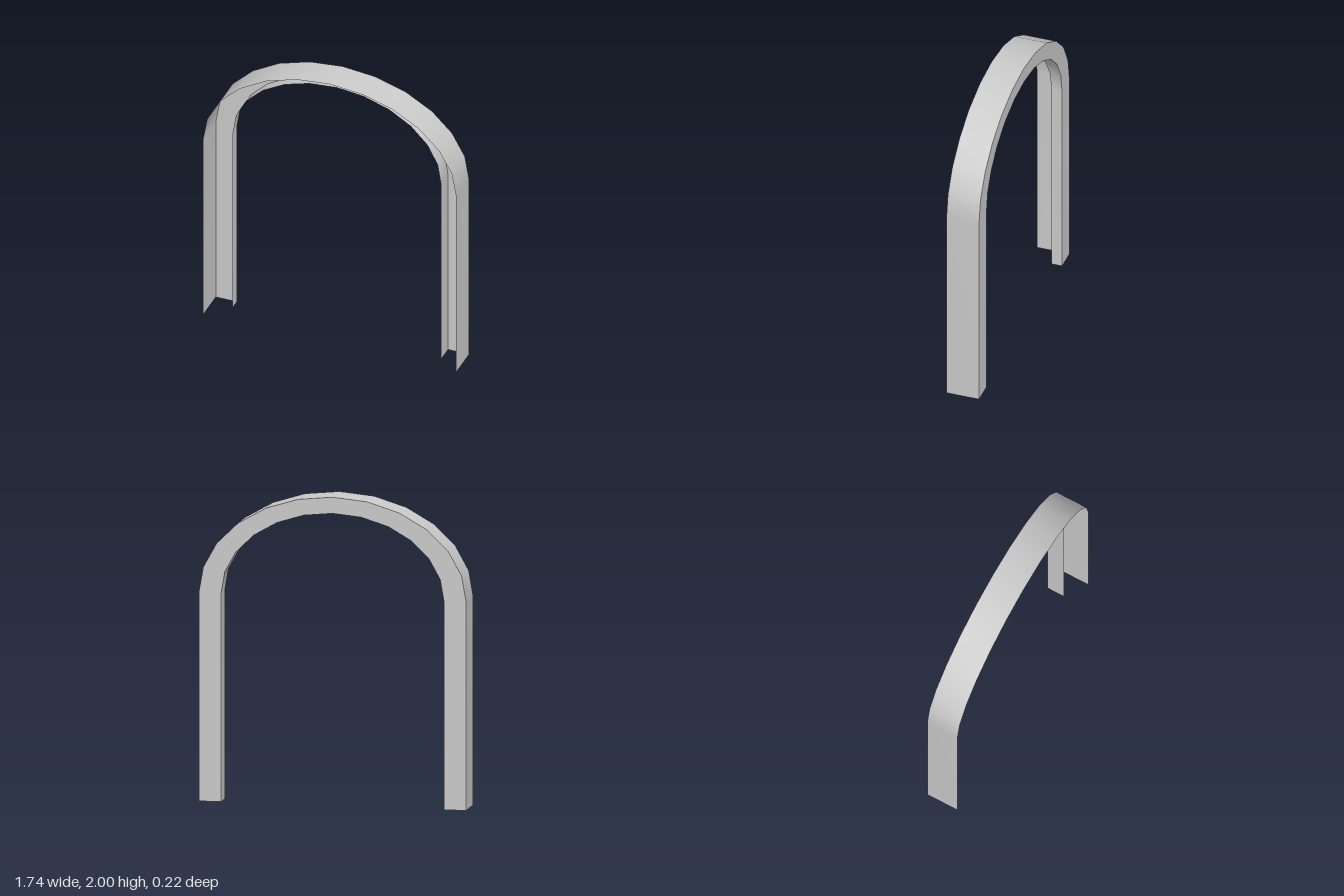
import * as THREE from 'three';

const SEGMENTS = 12;
const SPRING = 1.35;   // height where the arch starts
const DEPTH = 0.11;    // half depth

// Path from the +x foot, over the half-ellipse, to the -x foot.
// t runs 0..1 around the arch.
function archPath(rx, ry) {
  const path = [{ x: rx, y: 0, t: 0 }];
  for (let i = 0; i <= SEGMENTS; i++) {
    const t = i / SEGMENTS, a = Math.PI * t;
    path.push({ x: rx * Math.cos(a), y: SPRING + ry * Math.sin(a), t });
  }
  path.push({ x: -rx, y: 0, t: 1 });
  return path;
}

// Smooth ribbon between two edges with the same number of points
function ribbon(name, edgeA, edgeB, material) {
  const positions = [], index = [];
  edgeA.forEach((a, i) => {
    positions.push(...a.toArray(), ...edgeB[i].toArray());
    if (i > 0) {
      const k = 2 * (i - 1);
      index.push(k, k + 1, k + 2, k + 1, k + 3, k + 2);
    }
  });
  const geometry = new THREE.BufferGeometry();
  geometry.setAttribute('position', new THREE.Float32BufferAttribute(positions, 3));
  geometry.setIndex(index);
  geometry.computeVertexNormals();
  const mesh = new THREE.Mesh(geometry, material);
  mesh.name = name;
  return mesh;
}

export function createModel() {
  const group = new THREE.Group();
  group.name = 'archFrame';
  const material = new THREE.MeshStandardMaterial({ color: 0xcccccc, side: THREE.DoubleSide });

  const outer = archPath(0.872, 0.65);
  const inner = archPath(0.727, 0.545);
  const edge = (path, z) => path.map(p => new THREE.Vector3(p.x, p.y, z(p.t)));

  const outerFront = edge(outer, () => DEPTH);
  const outerBack = edge(outer, () => -DEPTH);
  const innerBack = edge(inner, () => -DEPTH);
  // the inner lip is wider on the +x leg and narrows around the arch
  const innerFront = edge(inner, t => THREE.MathUtils.lerp(0.01, -0.04, t));

  // full-depth outer band, flat back face, short inner lip
  group.add(
    ribbon('outerBand', outerFront, outerBack, material),
    ribbon('backFace', outerBack, innerBack, material),
    ribbon('innerLip', innerBack, innerFront, material)
  );
  return group;
}
